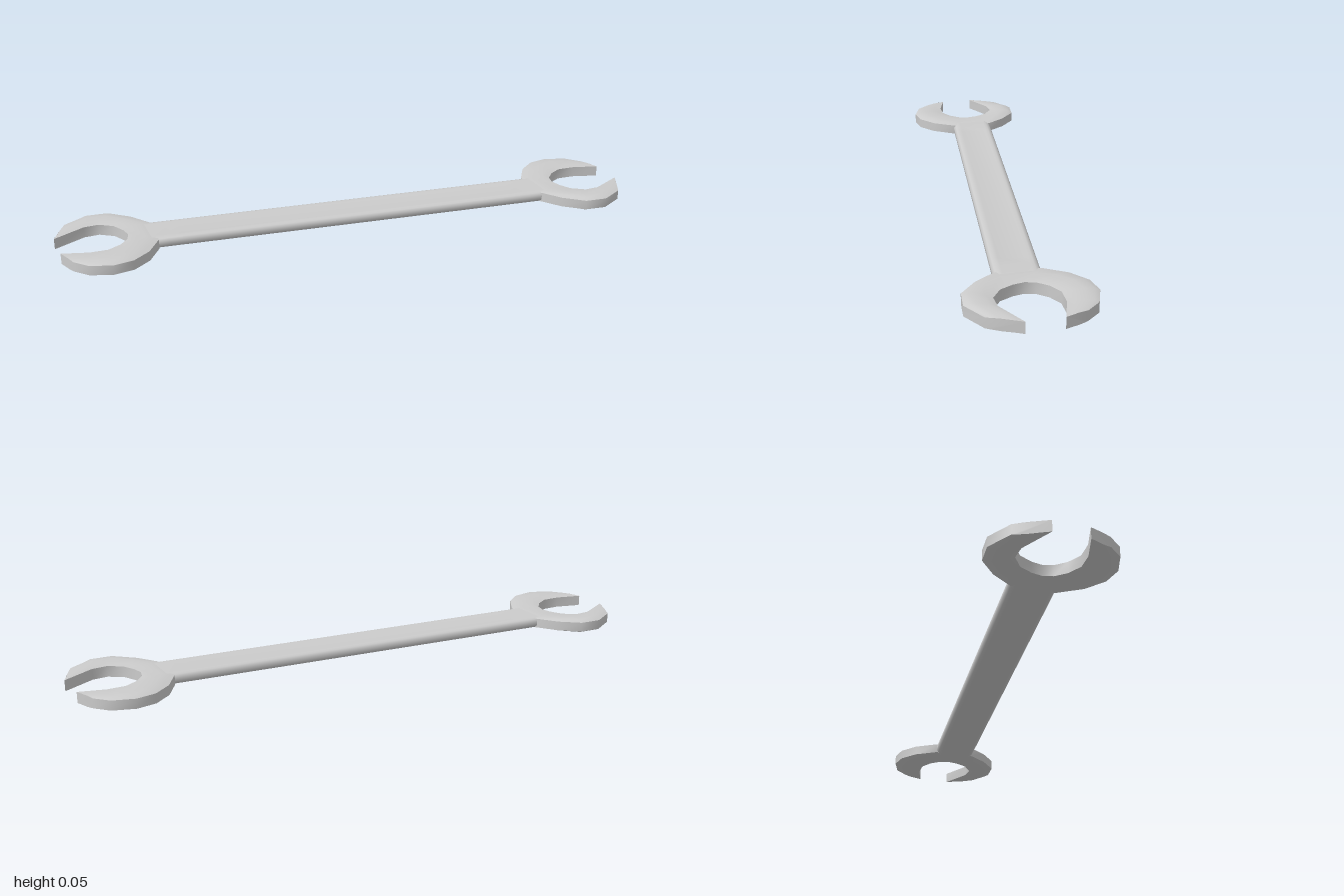
import * as THREE from 'three';
import { toCreasedNormals } from 'three/addons/utils/BufferGeometryUtils.js';

const MID = 0.0255; // height of the middle plane

// Skin a list of equal-sized rings and cap both ends
function loft(rings, crease) {
  const n = rings[0].length, last = rings.length - 1;
  const index = [];
  for (let i = 0; i < last; i++) {
    for (let j = 0; j < n; j++) {
      const k = (j + 1) % n;
      const a = i * n + j, b = i * n + k, c = b + n, d = a + n;
      index.push(a, b, d, b, c, d);
    }
  }
  for (let j = 1; j < n - 1; j++) {
    index.push(0, j + 1, j);
    index.push(last * n, last * n + j, last * n + j + 1);
  }
  const geometry = new THREE.BufferGeometry();
  geometry.setAttribute('position', new THREE.Float32BufferAttribute(rings.flat(2), 3));
  geometry.setIndex(index);
  return toCreasedNormals(geometry, crease);
}

// Upper half of a section, mirrored below the middle plane to close the ring
function mirrorRing(half) {
  const below = half.map(([x, y, z]) => [x, -y, z]).reverse();
  return [...half, ...below].map(([x, y, z]) => [x, y + MID, z]);
}

// Bar with rounded long edges and a shallow panel on both faces
function handleGeometry() {
  const stations = [[-0.71, 0], [-0.64, 0], [-0.59, 0.002], [0.59, 0.002], [0.64, 0], [0.71, 0]];
  const rings = stations.map(([x, dip]) => {
    const side = [[0.072, 0.008], [0.066, 0.0155], [0.056, 0.019], [0.046, 0.019 - dip]];
    const half = [
      ...side.map(([z, y]) => [x, y, -z]),
      ...side.slice().reverse().map(([z, y]) => [x, y, z]),
    ];
    return mirrorRing(half);
  });
  return loft(rings, 0.9);
}

// Open jaw: outer x, z, inner x, z and crown half thickness, tip to tip
function jawGeometry() {
  const rows = [
    [0.95, -0.16, 0.985, -0.093, 0.019],
    [0.905, -0.2, 0.895, -0.11, 0.0225],
    [0.83, -0.217, 0.835, -0.106, 0.025],
    [0.765, -0.2, 0.793, -0.078, 0.025],
    [0.71, -0.15, 0.768, -0.043, 0.023],
    [0.67, -0.073, 0.763, -0.01, 0.02],
    [0.685, 0.068, 0.775, 0.025, 0.02],
    [0.74, 0.13, 0.802, 0.065, 0.023],
    [0.81, 0.177, 0.85, 0.09, 0.025],
    [0.885, 0.177, 0.9, 0.083, 0.025],
    [0.96, 0.125, 1.0, 0.02, 0.019],
  ];
  const rings = rows.map(([ox, oz, ix, iz, crown]) => {
    const at = (t, y) => [ix + (ox - ix) * t, y, iz + (oz - iz) * t];
    return mirrorRing([
      at(0, 0.0185),
      at(0.25, crown * 0.96),
      at(0.6, crown),
      at(0.85, crown * 0.93),
      at(1, 0.0165),
    ]);
  });
  return loft(rings, 0.9);
}

export function createModel() {
  const group = new THREE.Group();
  group.name = 'openEndWrench';
  const material = new THREE.MeshStandardMaterial({ color: 0xcccccc });

  const handle = new THREE.Mesh(handleGeometry(), material);
  handle.name = 'handle';
  group.add(handle);

  // The two jaws are half a turn apart
  const jaw = jawGeometry();
  ['leftJaw', 'rightJaw'].forEach((name, i) => {
    const mesh = new THREE.Mesh(jaw, material);
    mesh.name = name;
    mesh.rotation.y = i * Math.PI;
    group.add(mesh);
  });
  return group;
}
